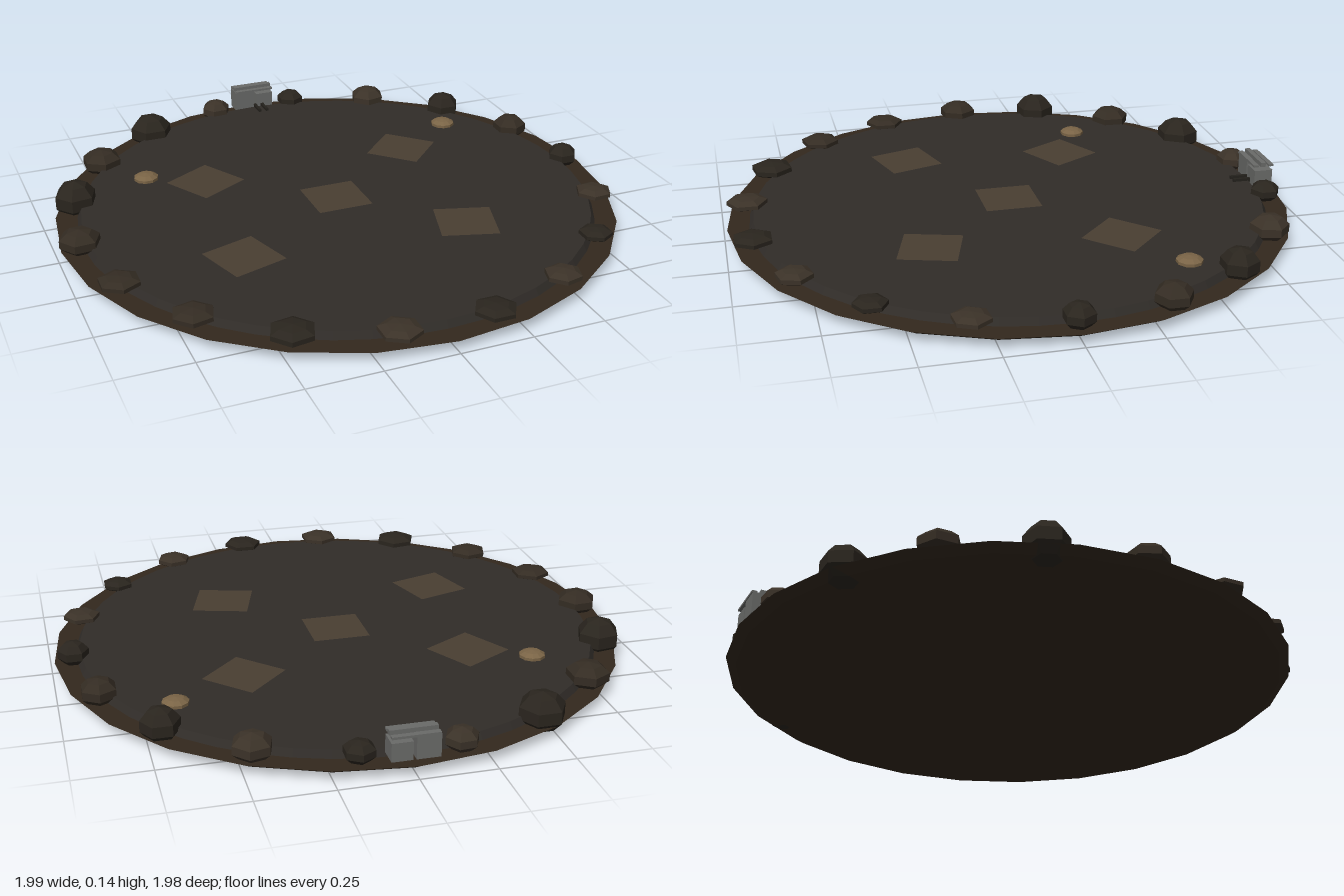
import * as THREE from 'three';

const paint = (color) => new THREE.MeshStandardMaterial({ color, flatShading: true });
const EARTH = paint(0x33281d), FLOOR = paint(0x302c28), PATCH = paint(0x493e32);
const LAMP = paint(0x7a6446), METAL = paint(0x6a6b69), DARK = paint(0x24211c);
const ROCKS = [paint(0x2a251e), paint(0x3b3228), paint(0x342c23)];

function add(parent, name, geometry, material, x, y, z, turn = 0) {
  const mesh = new THREE.Mesh(geometry, material);
  mesh.name = name;
  mesh.position.set(x, y, z);
  mesh.rotation.y = turn;
  parent.add(mesh);
  return mesh;
}

// box given by its two opposite corners
function block(parent, name, material, x0, x1, y0, y1, z0, z1) {
  return add(parent, name, new THREE.BoxGeometry(x1 - x0, y1 - y0, z1 - z0), material,
    (x0 + x1) / 2, (y0 + y1) / 2, (z0 + z1) / 2);
}

export function createModel() {
  const model = new THREE.Group();
  model.name = 'arena';

  // stepped round ground
  add(model, 'groundRim', new THREE.CylinderGeometry(0.99, 0.955, 0.022, 24), EARTH, 0, 0.025, 0);
  add(model, 'arenaFloor', new THREE.CylinderGeometry(0.9, 0.915, 0.026, 48), FLOOR, 0, 0.047, 0);

  // square ground patches: x, z, turn
  const patch = new THREE.PlaneGeometry(0.2, 0.2).rotateX(-Math.PI / 2);
  for (const [x, z, turn] of [[0, 0, 0], [0.39, -0.3, Math.PI / 4], [-0.395, -0.295, 0.51],
    [-0.445, 0.295, 0.3], [0.345, 0.345, -0.29]]) {
    add(model, 'groundPatch', patch, PATCH, x, 0.062, z, turn);
  }

  // ring of boulders from +x towards +z: radius, top height, paint
  const boulders = [
    [0.056, 0.112, 0], [0.068, 0.09, 1], [0.06, 0.09, 0], [0.066, 0.092, 1], [0.075, 0.09, 0],
    [0.075, 0.09, 1], [0.08, 0.095, 0], [0.075, 0.092, 2], [0.075, 0.09, 2], [0.075, 0.112, 2],
    [0.078, 0.138, 0], [0.076, 0.115, 2], [0.082, 0.135, 0], [0.058, 0.108, 1], [0.055, 0.105, 0],
    [0.07, 0.115, 1], [0.068, 0.128, 0], [0.066, 0.115, 2],
  ];
  const boulder = new THREE.SphereGeometry(1, 6, 5);
  boulders.forEach(([radius, top, tint], i) => {
    const a = i * Math.PI / 9;
    const rock = add(model, 'boulder', boulder, ROCKS[tint],
      0.925 * Math.cos(a), 0.068, 0.925 * Math.sin(a), i % 3 === 2 ? 0.5 : 0.08 * (i % 4));
    rock.scale.set(radius, top - 0.068, radius);
  });

  // two small rounded lamps
  for (const [x, z] of [[-0.59, -0.4], [0.64, -0.45]]) {
    add(model, 'lamp', new THREE.SphereGeometry(0.047, 10, 5).scale(1, 0.42, 1), LAMP, x, 0.064, z);
  }

  // metal gate at the back
  const gate = new THREE.Group();
  gate.name = 'gate';
  block(gate, 'rightPanel', METAL, -0.075, 0.002, 0.05, 0.128, -0.972, -0.905);
  block(gate, 'leftPanel', METAL, 0.012, 0.08, 0.05, 0.112, -0.972, -0.905);
  for (const z of [-0.975, -0.945, -0.918]) {
    block(gate, 'roofBar', METAL, -0.073, 0.08, 0.126, z === -0.945 ? 0.142 : 0.134, z, z + 0.018);
  }
  for (const x of [0, 0.03]) {
    block(gate, 'gateRail', DARK, x, x + 0.011, 0.055, 0.07, -0.91, -0.84);
  }
  model.add(gate);
  return model;
}
